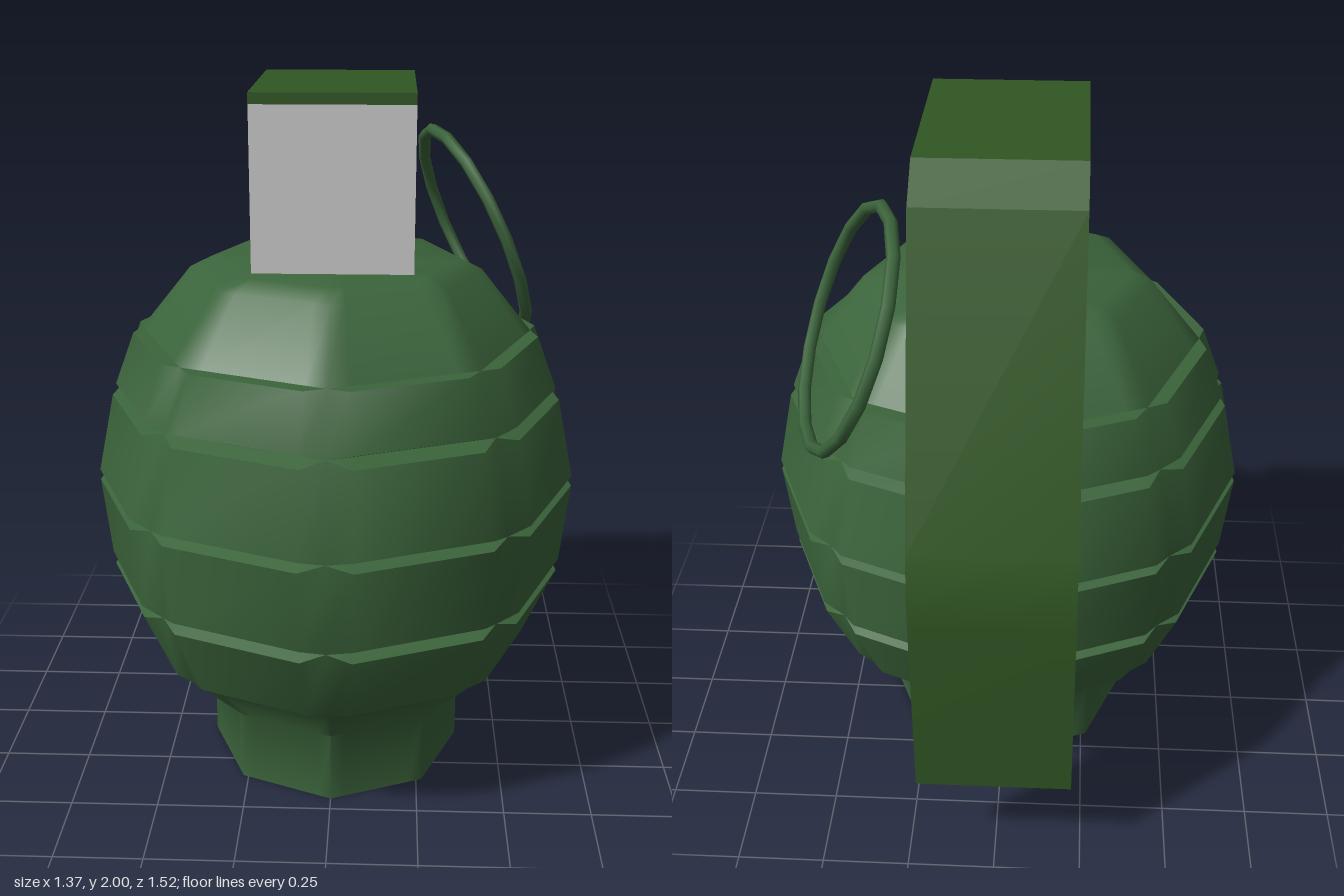
import * as THREE from 'three';
import { toCreasedNormals } from 'three/addons/utils/BufferGeometryUtils.js';

const BODY_Z = 0.075;
const CREASE = 0.8;
const HALF_WIDTH = 0.218;

// One ring of 24 points: 8 corners, each with a point on either side.
// Plain rings are octagons; raised rings lift the side points and leave
// the corner point down in the valley, which forms the vertical grooves.
function ring(y, r, valley) {
  const points = [];
  const spread = THREE.MathUtils.degToRad(6);
  const chord = Math.cos(Math.PI / 8) / Math.cos(Math.PI / 8 - spread);
  for (let k = 0; k < 8; k++) {
    for (const s of [-1, 0, 1]) {
      const a = k * Math.PI / 4 + s * spread;
      let radius = r, height = y;
      if (valley) {
        if (s === 0) [height, radius] = valley;
        else radius = r / Math.cos(spread);
      } else if (s !== 0) radius = r * chord;
      points.push([radius * Math.sin(a), height, radius * Math.cos(a)]);
    }
  }
  return points;
}

// Joins rings, listed from bottom to top, into one skin
function loft(rings) {
  const n = rings[0].length;
  const index = [];
  for (let i = 0; i < rings.length - 1; i++) {
    for (let j = 0; j < n; j++) {
      const k = (j + 1) % n;
      const a = i * n + j, b = i * n + k, c = b + n, d = a + n;
      index.push(a, b, c, a, c, d);
    }
  }
  const geometry = new THREE.BufferGeometry();
  geometry.setAttribute('position', new THREE.Float32BufferAttribute(rings.flat(2), 3));
  geometry.setIndex(index);
  return toCreasedNormals(geometry, CREASE);
}

// Extrudes a side outline, given as [z, y] points, across the width
function sideExtrude(outline) {
  const shape = new THREE.Shape(outline.map(([z, y]) => new THREE.Vector2(z, y)));
  const geometry = new THREE.ExtrudeGeometry(shape, { depth: HALF_WIDTH * 2, bevelEnabled: false });
  geometry.rotateY(-Math.PI / 2);
  geometry.translate(HALF_WIDTH, 0, 0);
  return geometry;
}

export function createModel() {
  const model = new THREE.Group();
  const green = new THREE.MeshStandardMaterial({ color: 0x3b643b });
  const leverGreen = new THREE.MeshStandardMaterial({ color: 0x315724 });
  const grey = new THREE.MeshStandardMaterial({ color: 0xcccccc });

  const add = (name, geometry, material) => {
    const mesh = new THREE.Mesh(geometry, material);
    mesh.name = name;
    model.add(mesh);
    return mesh;
  };

  // Body: foot, four bands of raised plates between valleys, and shoulder
  const valleys = [[0.385, 0.55], [0.62, 0.64], [0.888, 0.668], [1.15, 0.613], [1.318, 0.553]];
  const plates = [
    [[0.39, 0.56], [0.602, 0.655]],
    [[0.638, 0.66], [0.873, 0.685]],
    [[0.903, 0.685], [1.133, 0.637]],
    [[1.166, 0.626], [1.316, 0.57]],
  ];
  const rings = [ring(0, 0), ring(0, 0.375), ring(0.21, 0.375), ring(...valleys[0])];
  plates.forEach(([low, high], i) => {
    rings.push(ring(...low, valleys[i]), ring(...high, valleys[i + 1]), ring(...valleys[i + 1]));
  });
  rings.push(ring(1.495, 0.41), ring(1.525, 0.35), ring(1.525, 0));
  add('body', loft(rings), green).position.z = BODY_Z;

  // Fuse head under the lever
  add('fuseHead', sideExtrude([
    [0.28, 1.525], [-0.555, 1.525], [-0.388, 1.9], [-0.29, 1.97], [0.28, 1.97],
  ]), grey);

  // Bent safety lever: outer edge down, inner edge back up
  add('lever', toCreasedNormals(sideExtrude([
    [0.285, 2], [-0.3, 2], [-0.415, 1.92], [-0.73, 1.11], [-0.757, 0.98], [-0.757, 0.9], [-0.733, 0.315],
    [-0.7, 0.315], [-0.725, 0.9], [-0.722, 0.99], [-0.7, 1.1], [-0.388, 1.9], [-0.29, 1.97], [0.285, 1.97],
  ]), 0.5), leverGreen);

  // Tilted pull ring on the left side
  const pullRing = add('pullRing', new THREE.TorusGeometry(0.331, 0.018, 6, 16), green);
  const normal = new THREE.Vector3(0.887, 0.382, -0.258).normalize();
  pullRing.quaternion.setFromUnitVectors(new THREE.Vector3(0, 0, 1), normal);
  pullRing.position.set(0.405, 1.525, -0.297);

  return model;
}
